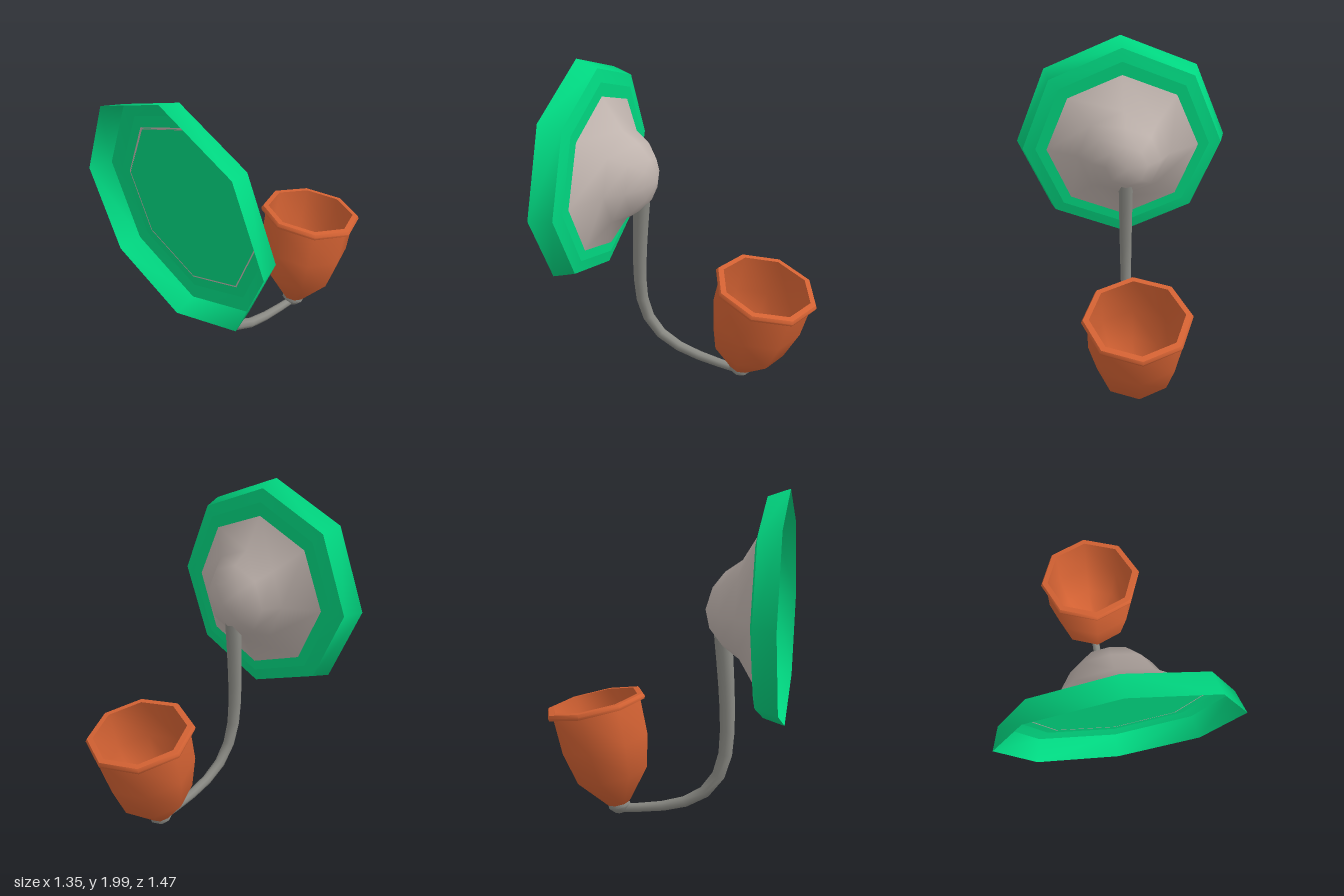
import * as THREE from 'three';
import { toCreasedNormals } from 'three/addons/utils/BufferGeometryUtils.js';

const mat = (name, color, side = THREE.FrontSide) => {
  const m = new THREE.MeshStandardMaterial({ color, side });
  m.name = name;
  return m;
};

// Eight-sided turned shape from [radius, height] pairs
const turned = (points, crease) =>
  toCreasedNormals(new THREE.LatheGeometry(points.map(([r, h]) => new THREE.Vector2(r, h)), 8), crease);

export function createModel() {
  const green = mat('green', 0x00d680, THREE.DoubleSide);
  const clay = mat('terracotta', 0xd46233);
  const stone = mat('warm grey', 0xc0b4ae, THREE.DoubleSide);
  const steel = mat('steel grey', 0x8a8a84, THREE.DoubleSide);

  const model = new THREE.Group();
  const add = (parent, name, geometry, material) => {
    const mesh = new THREE.Mesh(geometry, material);
    mesh.name = name;
    parent.add(mesh);
    return mesh;
  };

  // Wall mount: open-fronted octagonal pan with a flared boss behind it
  const mount = new THREE.Group();
  mount.name = 'wallMount';
  mount.position.y = 1.318;
  model.add(mount);

  const pan = new THREE.Group();
  pan.name = 'wallPan';
  pan.rotation.x = Math.PI / 2 - 0.009;
  mount.add(pan);
  add(pan, 'panRim', turned([[0.555, 0.587], [0.635, 0.604], [0.675, 0.73]], 0.9), green);
  add(pan, 'panFloor', turned([[0, 0.587], [0.555, 0.587]], 0.9), green);
  // Edge of the boss showing as a hairline on the pan floor
  add(pan, 'bossEdge', turned([[0.481, 0.591], [0.489, 0.591]], 0.9), stone);

  const boss = turned([[0, 0.26], [0.13, 0.3], [0.22, 0.37], [0.29, 0.47], [0.485, 0.587]], 0.9);
  boss.rotateX(Math.PI / 2);
  add(mount, 'flaredBoss', boss, stone);

  // Curved arm, thinning towards the cup
  const path = new THREE.CatmullRomCurve3(
    [[1.17, 0.365], [0.87, 0.39], [0.58, 0.4], [0.39, 0.38], [0.245, 0.315], [0.145, 0.2], [0.075, 0], [0.034, -0.28]]
      .map(([y, z]) => new THREE.Vector3(0, y, z)));
  const steps = 11, sides = 8;
  const arm = new THREE.TubeGeometry(path, steps, 1, sides);
  const pos = arm.attributes.position;
  const v = new THREE.Vector3();
  for (let i = 0; i < pos.count; i++) {
    const t = Math.floor(i / (sides + 1)) / steps;
    const c = path.getPointAt(t);
    v.fromBufferAttribute(pos, i).sub(c).multiplyScalar(0.053 - 0.025 * t);
    v.x *= 0.85;
    v.add(c);
    pos.setXYZ(i, v.x, v.y, v.z);
  }
  add(model, 'curvedArm', arm, steel);

  // Hollow cup leaning away from the wall mount, with a collar at its foot
  const cup = new THREE.Group();
  cup.name = 'cup';
  cup.position.set(0, 0.04, -0.27);
  cup.rotation.x = -0.22;
  model.add(cup);

  add(cup, 'cupBody', turned([
    [0, 0], [0.06, 0.02], [0.235, 0.24], [0.285, 0.45], [0.29, 0.665],
    [0.318, 0.67], [0.322, 0.685], [0.312, 0.703], [0.277, 0.705],
    [0.268, 0.45], [0.215, 0.25], [0.06, 0.06], [0, 0.05],
  ], 0.85), clay);
  add(cup, 'collar', turned([[0, -0.03], [0.035, -0.028], [0.074, 0.015], [0.07, 0.042], [0, 0.042]], 0.85), steel);

  return model;
}
